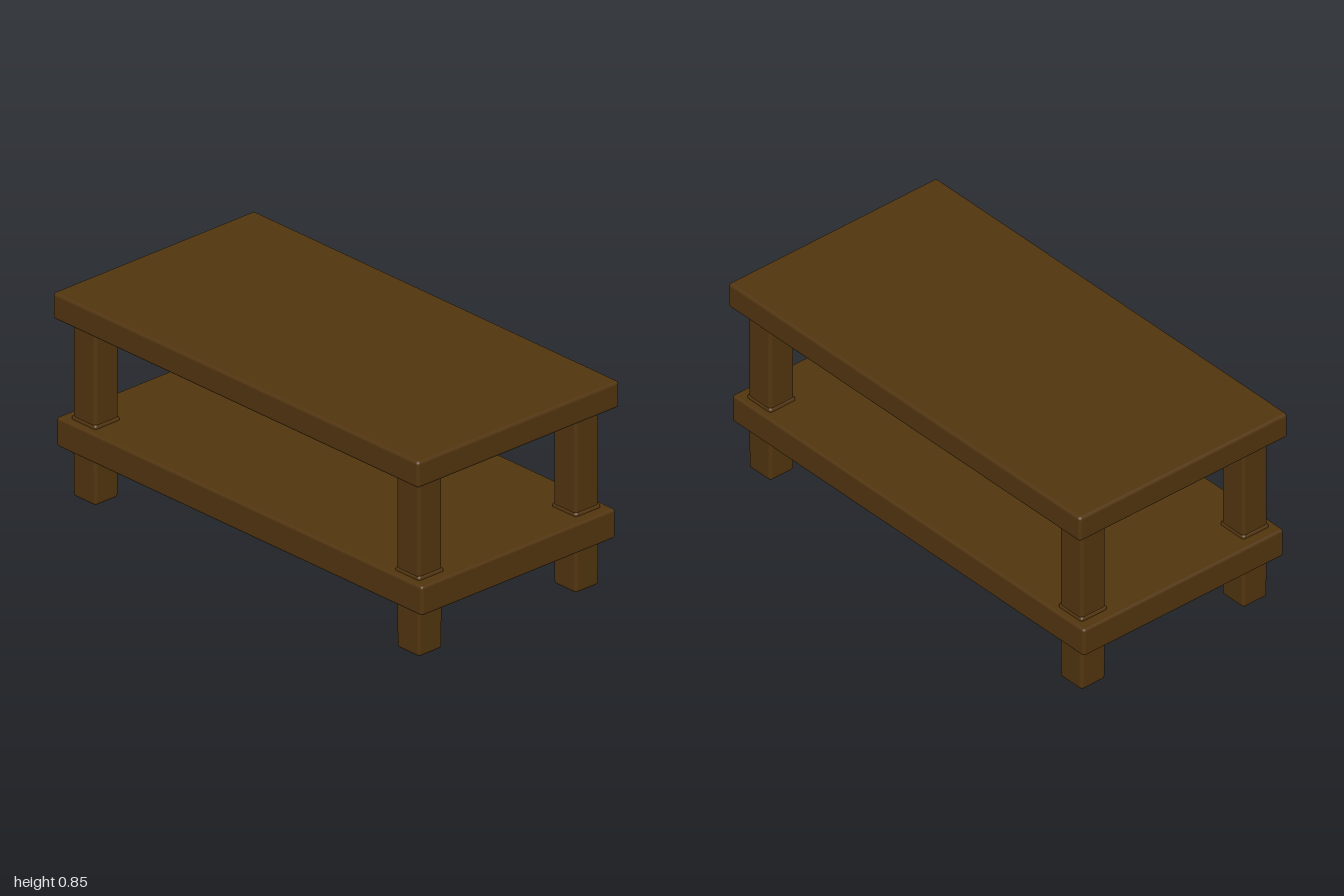
import * as THREE from 'three';
import { RoundedBoxGeometry } from 'three/addons/geometries/RoundedBoxGeometry.js';

export function createModel() {
  const table = new THREE.Group();
  table.name = 'coffeeTable';
  const wood = new THREE.MeshStandardMaterial({ color: 0x52350f });
  wood.name = 'dark brown wood';

  // Softly rounded block spanning y0..y1, centred on x and z
  function block(name, width, y0, y1, depth, radius, parent, x = 0, z = 0) {
    const geometry = new RoundedBoxGeometry(width, y1 - y0, depth, 3, radius);
    const mesh = new THREE.Mesh(geometry, wood);
    mesh.name = name;
    mesh.position.set(x, (y0 + y1) / 2, z);
    parent.add(mesh);
    return mesh;
  }

  // Narrow the lower half of a block towards its base
  function taper(mesh, scale) {
    const p = mesh.geometry.attributes.position;
    for (let i = 0; i < p.count; i++) {
      if (p.getY(i) < 0) p.setXYZ(i, p.getX(i) * scale, p.getY(i), p.getZ(i) * scale);
    }
    mesh.geometry.computeVertexNormals();
  }

  // Top and lower shelf
  block('tableTop', 2, 0.74, 0.85, 1.03, 0.014, table);
  block('lowerShelf', 2, 0.205, 0.327, 0.99, 0.012, table);

  // Four legs: post between the slabs, small flare at the shelf, tapered foot
  for (const sx of [-1, 1]) {
    for (const sz of [-1, 1]) {
      const leg = new THREE.Group();
      leg.name = (sz > 0 ? 'front' : 'back') + (sx > 0 ? 'Left' : 'Right') + 'Leg';
      leg.position.set(sx * 0.885, 0, sz * 0.4);
      block('post', 0.125, 0.25, 0.78, 0.122, 0.014, leg);
      block('collar', 0.136, 0.31, 0.342, 0.13, 0.012, leg);
      taper(block('foot', 0.128, 0.005, 0.28, 0.124, 0.014, leg), 0.965);
      table.add(leg);
    }
  }
  return table;
}
